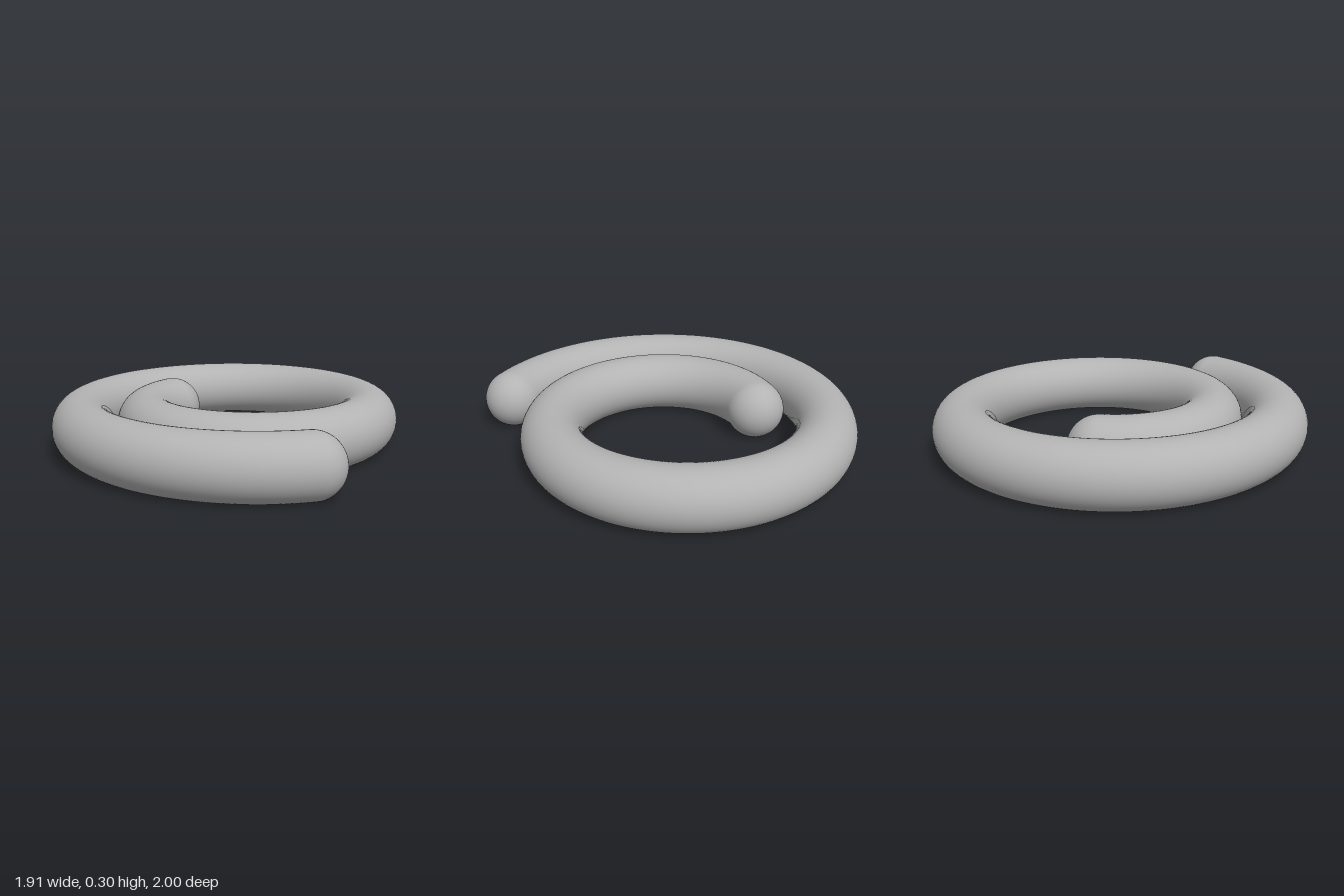
import * as THREE from 'three';

const R = 0.156, H = 0.14;                 // tube radius, height of its centre line
const CX = 0.0825, CZ = -0.0475;           // spiral centre
const R0 = 0.5425, PITCH = 0.054;          // spiral radius at angle 0, growth per radian
const START = -1.222, END = 7.496;
const TURN_STEPS = 220, CAP_STEPS = 28, SIDES = 48;

// Centre point and unit tangent of the spiral
function frame(phi) {
  const r = R0 + PITCH * phi, c = Math.cos(phi), s = Math.sin(phi);
  return {
    p: new THREE.Vector3(CX - r * c, H, CZ + r * s),
    t: new THREE.Vector3(r * s - PITCH * c, 0, r * c + PITCH * s).normalize(),
  };
}

// Stations along the sweep; tilt runs -90..0 and 0..90 degrees over the round ends
function stations() {
  const list = [];
  const quarter = Math.PI / 2;
  for (let i = 0; i < CAP_STEPS; i++) list.push({ ...frame(START), tilt: -quarter * (1 - i / CAP_STEPS) });
  for (let i = 0; i <= TURN_STEPS; i++) list.push({ ...frame(START + (END - START) * i / TURN_STEPS), tilt: 0 });
  for (let i = 1; i <= CAP_STEPS; i++) list.push({ ...frame(END), tilt: quarter * i / CAP_STEPS });
  return list;
}

// Sweep either the round skin or the flat underside that cuts it at y = 0
function sweep(flat) {
  const pos = [], nor = [], idx = [];
  const cols = flat ? 1 : SIDES;
  const rows = stations();
  rows.forEach(({ p, t, tilt }, i) => {
    const side = new THREE.Vector3(-t.z, 0, t.x);
    const rho = R * Math.cos(tilt);
    const cut = rho > H ? Math.acos(H / rho) : 0;
    for (let j = 0; j <= cols; j++) {
      const a = flat ? (j ? cut : -cut) : cut + (2 * Math.PI - 2 * cut) * j / cols;
      const n = side.clone().multiplyScalar(Math.sin(a) * Math.cos(tilt));
      n.y = -Math.cos(a) * Math.cos(tilt);
      n.addScaledVector(t, Math.sin(tilt));
      const v = p.clone().addScaledVector(n, R);
      pos.push(v.x, v.y, v.z);
      if (flat) nor.push(0, -1, 0); else nor.push(n.x, n.y, n.z);
      // The underside exists only where the section reaches the ground
      if (i < rows.length - 1 && j < cols && (!flat || R * Math.cos(rows[i + 1].tilt) > H || rho > H)) {
        const k = i * (cols + 1) + j, m = k + cols + 1;
        idx.push(k, m, m + 1, k, m + 1, k + 1);
      }
    }
  });
  const g = new THREE.BufferGeometry();
  g.setAttribute('position', new THREE.Float32BufferAttribute(pos, 3));
  g.setAttribute('normal', new THREE.Float32BufferAttribute(nor, 3));
  g.setIndex(idx);
  return g;
}

export function createModel() {
  const grey = new THREE.MeshStandardMaterial({ color: 0xb3b3b3 });
  grey.name = 'grey';
  const group = new THREE.Group();
  group.name = 'spiralRing';

  const skin = new THREE.Mesh(sweep(false), grey);
  skin.name = 'spiralTube';
  const base = new THREE.Mesh(sweep(true), grey);
  base.name = 'flatUnderside';
  group.add(skin, base);
  return group;
}
